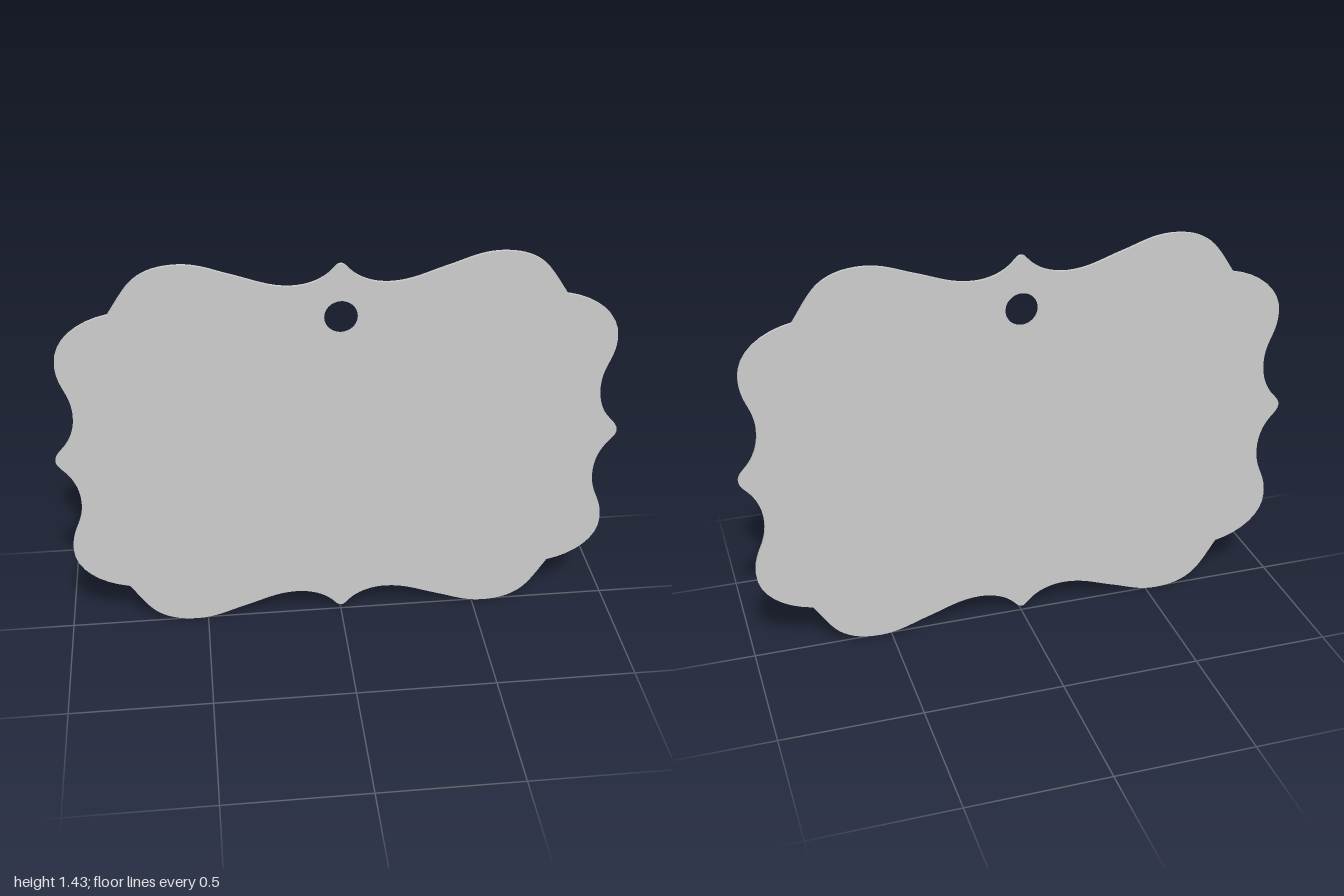
import * as THREE from 'three';
import { toCreasedNormals } from 'three/addons/utils/BufferGeometryUtils.js';

const THICKNESS = 0.011;
const HALF_HEIGHT = 0.7175;

// Quarter outline from the top tip to the side tip: control 1, control 2, end
const START = [0, 0.697];
const QUARTER = [
  [0.012, 0.697, 0.018, 0.687, 0.03, 0.675],
  [0.06, 0.643, 0.11, 0.623, 0.166, 0.623],
  [0.24, 0.623, 0.29, 0.65, 0.36, 0.672],
  [0.42, 0.69, 0.47, 0.7175, 0.54, 0.7175],
  [0.6, 0.7175, 0.65, 0.705, 0.69, 0.672],
  [0.722, 0.645, 0.75, 0.595, 0.78, 0.55],
  [0.885, 0.53, 0.97, 0.465, 0.97, 0.375],
  [0.97, 0.33, 0.96, 0.305, 0.945, 0.27],
  [0.932, 0.24, 0.925, 0.21, 0.925, 0.178],
  [0.925, 0.12, 0.945, 0.075, 0.975, 0.043],
  [0.99, 0.027, 1, 0.015, 1, 0],
];

function quarterPoints() {
  const path = new THREE.Path();
  path.moveTo(...START);
  for (const c of QUARTER) path.bezierCurveTo(...c);
  return path.getPoints(8);
}

// Mirror the quarter into a full closed outline, clockwise from the top tip
function outline() {
  const q = quarterPoints();
  const back = [...q].reverse();
  const place = (pts, sx, sy) =>
    pts.slice(0, -1).map((p) => new THREE.Vector2(p.x * sx, p.y * sy + HALF_HEIGHT));
  return [...place(q, 1, 1), ...place(back, 1, -1), ...place(q, -1, -1), ...place(back, -1, 1)];
}

export function createModel() {
  const group = new THREE.Group();
  group.name = 'hangingTag';

  // Scalloped plate with a round hanging hole
  const shape = new THREE.Shape(outline());
  const hole = new THREE.Path();
  hole.absarc(0, 1.222, 0.057, 0, Math.PI * 2, true);
  shape.holes.push(hole);

  const geometry = new THREE.ExtrudeGeometry(shape, {
    depth: THICKNESS,
    bevelEnabled: false,
    curveSegments: 24,
  });
  geometry.translate(0, 0, -THICKNESS / 2);

  const plate = new THREE.Mesh(
    toCreasedNormals(geometry, 0.5),
    new THREE.MeshStandardMaterial({ color: 0xcccccc })
  );
  plate.name = 'tagPlate';
  group.add(plate);
  return group;
}
